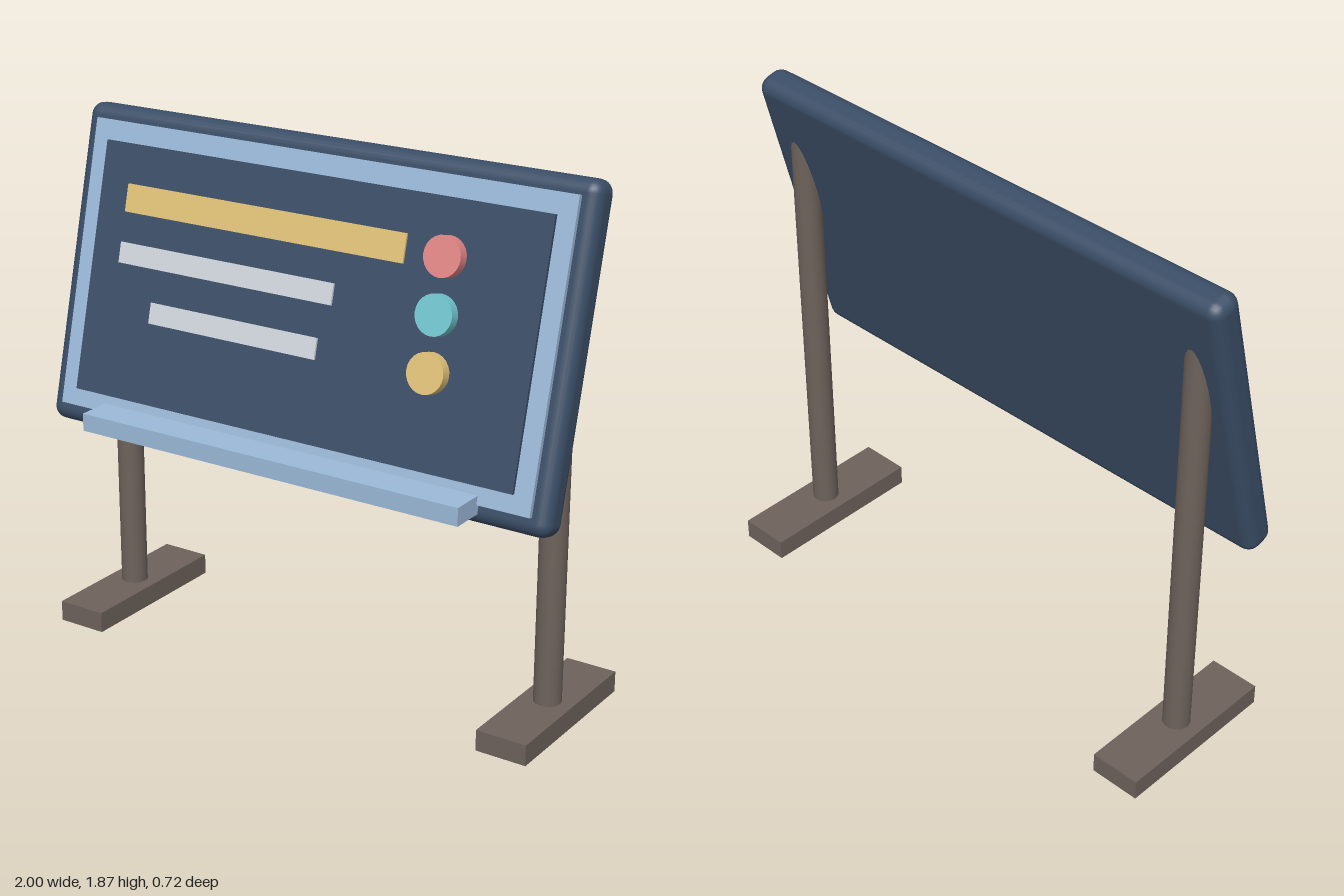
import * as THREE from 'three';
import { RoundedBoxGeometry } from 'three/addons/geometries/RoundedBoxGeometry.js';

const material = (name, color) => {
  const m = new THREE.MeshStandardMaterial({ color });
  m.name = name;
  return m;
};

export function createModel() {
  const navy = material('navy', 0x3a4d66);
  const paleBlue = material('paleBlue', 0x9bb9d8);
  const brown = material('brown', 0x6e625b);
  const gold = material('gold', 0xdfc077);
  const coral = material('coral', 0xe08585);
  const teal = material('teal', 0x70c5cf);
  const lightGrey = material('lightGrey', 0xcfd5dc);

  const model = new THREE.Group();
  model.name = 'informationBoard';

  const add = (parent, name, geometry, mat, x, y, z) => {
    const mesh = new THREE.Mesh(geometry, mat);
    mesh.name = name;
    mesh.position.set(x, y, z);
    parent.add(mesh);
    return mesh;
  };
  const box = (w, h, d) => new THREE.BoxGeometry(w, h, d);

  // Leaning board with its layered face
  const board = new THREE.Group();
  board.name = 'board';
  board.position.set(0, 1.315, 0.05);
  board.rotation.x = -0.25;
  model.add(board);
  add(board, 'boardBody', new RoundedBoxGeometry(2, 1.125, 0.12, 3, 0.045), navy, 0, 0, 0);
  add(board, 'border', box(1.88, 1.006, 0.025), paleBlue, 0, 0.004, 0.063);
  add(board, 'panel', box(1.75, 0.875, 0.02), navy, 0, 0, 0.077);

  // Raised strips: left end, right end, height, centre y
  const strips = [
    ['headingStrip', -0.755, 0.37, 0.097, 0.253, gold],
    ['upperStrip', -0.755, 0.125, 0.072, 0.064, lightGrey],
    ['lowerStrip', -0.595, 0.09, 0.072, -0.122, lightGrey],
  ];
  for (const [name, x0, x1, h, y, mat] of strips) {
    add(board, name, box(x1 - x0, h, 0.009), mat, (x0 + x1) / 2, y, 0.0905);
  }

  // Round buttons
  const buttonGeometry = new THREE.CylinderGeometry(0.068, 0.068, 0.045, 24).rotateX(Math.PI / 2);
  [coral, teal, gold].forEach((mat, i) => {
    add(board, 'button' + (i + 1), buttonGeometry, mat, 0.525, 0.252 - i * 0.186, 0.103);
  });

  // Level tray along the lower edge
  add(model, 'tray', box(1.5, 0.063, 0.16), paleBlue, 0, 0.848, 0.28);

  // Posts running up into the board, each on a long foot
  for (const [side, s] of [['left', 1], ['right', -1]]) {
    add(model, side + 'Post', new THREE.CylinderGeometry(0.048, 0.048, 1.58, 24), brown, s * 0.874, 0.85, -0.046);
    add(model, side + 'Foot', box(0.185, 0.075, 0.625), brown, s * 0.874, 0.0375, -0.047);
  }

  return model;
}
